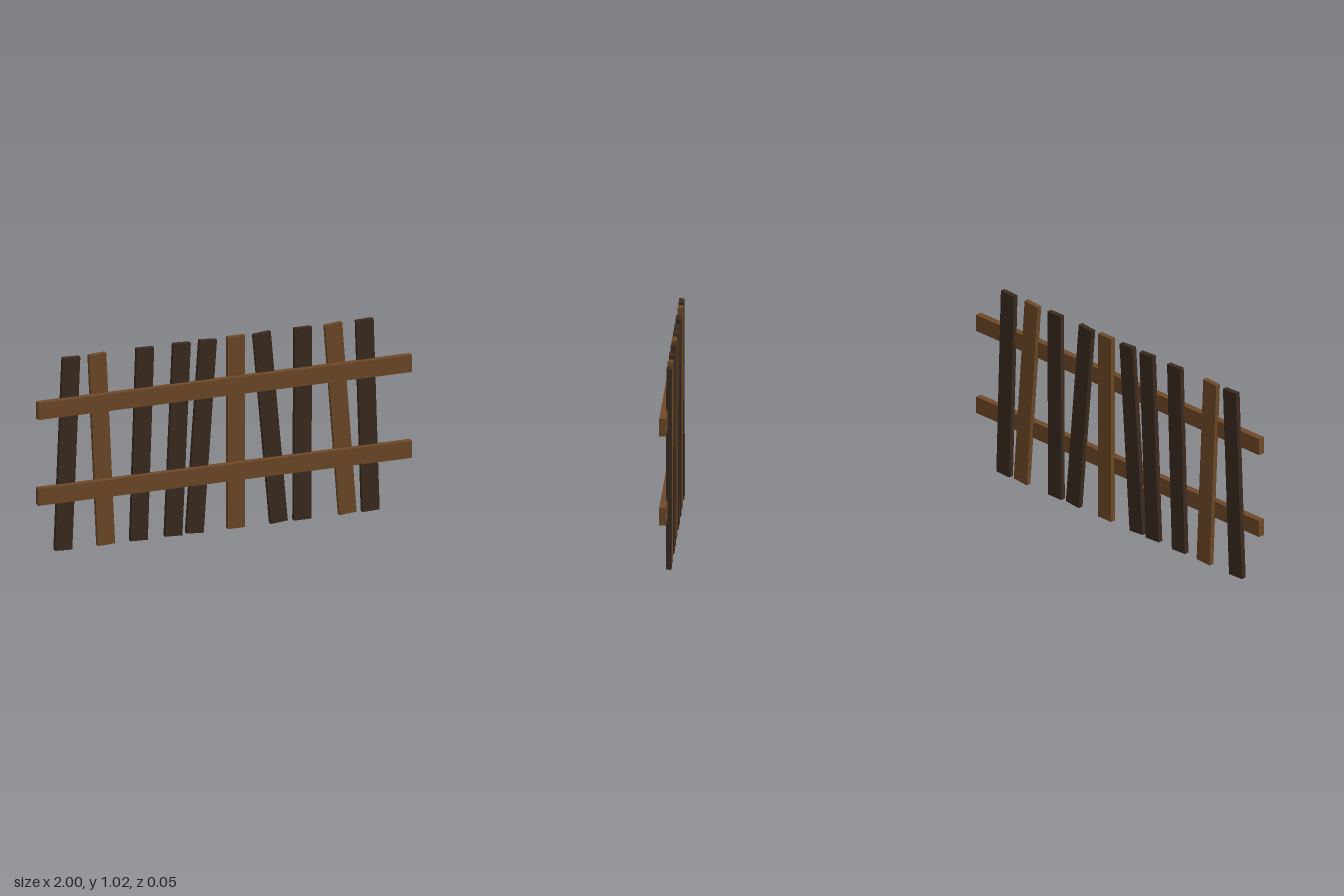
import * as THREE from 'three';

export function createModel() {
  const group = new THREE.Group();
  const lightWood = new THREE.MeshStandardMaterial({ color: 0x6f4a28 });
  const darkWood = new THREE.MeshStandardMaterial({ color: 0x3b2b20 });

  // Two horizontal rails across the front
  for (const [name, y] of [['lowerRail', 0.313], ['upperRail', 0.769]]) {
    const rail = new THREE.Mesh(new THREE.BoxGeometry(2, 0.09, 0.034), lightWood);
    rail.name = name;
    rail.position.set(0, y, 0.01);
    group.add(rail);
  }

  // Crooked pickets: [x at top, x at bottom, material]
  const pickets = [
    [-0.81, -0.853, darkWood],
    [-0.671, -0.624, lightWood],
    [-0.415, -0.449, darkWood],
    [-0.219, -0.264, darkWood],
    [-0.079, -0.15, darkWood],
    [0.071, 0.071, lightWood],
    [0.209, 0.3, darkWood],
    [0.43, 0.425, darkWood],
    [0.591, 0.668, lightWood],
    [0.759, 0.791, darkWood],
  ];
  const length = 1.018;
  const picketGeometry = new THREE.BoxGeometry(0.092, length, 0.026);
  pickets.forEach(([top, bottom, material], i) => {
    const picket = new THREE.Mesh(picketGeometry, material);
    picket.name = `picket${i + 1}`;
    picket.position.set((top + bottom) / 2, 0.513, -0.014);
    picket.rotation.z = Math.asin((bottom - top) / length);
    group.add(picket);
  });

  return group;
}
